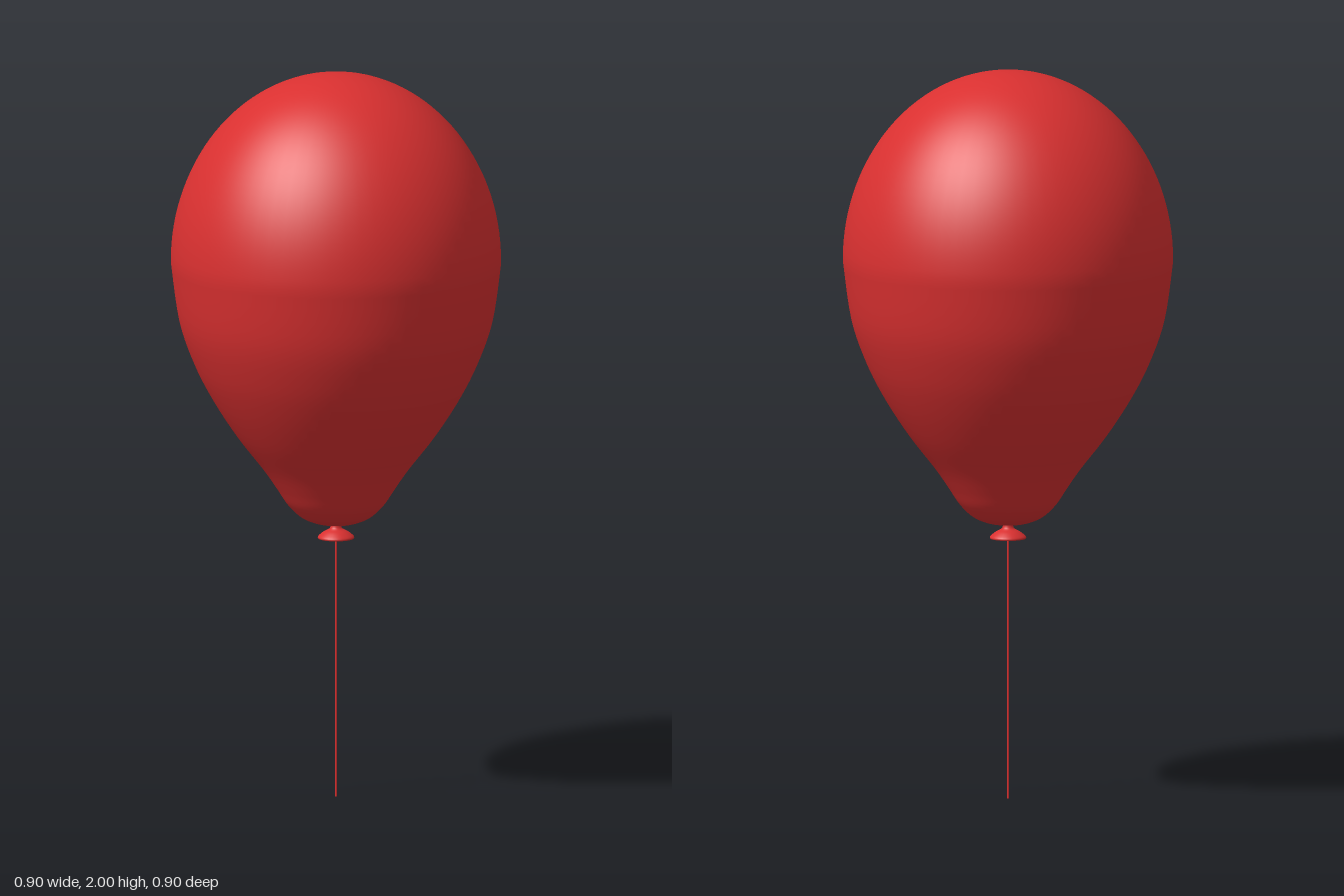
import * as THREE from 'three';

const v = (x, y) => new THREE.Vector2(x, y);

export function createModel() {
  const group = new THREE.Group();
  const red = new THREE.MeshStandardMaterial({ color: 0xd93030 });
  red.name = 'balloon red';
  const redOpen = new THREE.MeshStandardMaterial({ color: 0xd93030, side: THREE.DoubleSide });
  redOpen.name = 'balloon red two sided';

  const add = (name, geometry, material) => {
    const mesh = new THREE.Mesh(geometry, material);
    mesh.name = name;
    group.add(mesh);
  };

  // Inflated body: rounded neck flaring into an elliptical crown
  const lower = new THREE.SplineCurve([
    v(0, 0.752), v(0.05, 0.757), v(0.095, 0.775), v(0.132, 0.81), v(0.162, 0.855),
    v(0.2, 0.91), v(0.27, 1.0), v(0.335, 1.1), v(0.386, 1.2), v(0.427, 1.32), v(0.45, 1.48),
  ]).getPoints(50);
  const crown = [];
  for (let i = 1; i <= 32; i++) {
    const a = (i / 32) * Math.PI / 2;
    crown.push(v(i === 32 ? 0 : 0.45 * Math.cos(a), 1.48 + 0.52 * Math.sin(a)));
  }
  add('balloonBody', new THREE.LatheGeometry([...lower, ...crown], 64), red);

  // Pinched knot with a flared, hollow lip
  const lip = new THREE.SplineCurve([
    v(0.004, 0.727), v(0.028, 0.722), v(0.046, 0.714), v(0.049, 0.72),
    v(0.034, 0.733), v(0.016, 0.744), v(0.014, 0.762),
  ]).getPoints(24);
  add('knotLip', new THREE.LatheGeometry(lip, 32), redOpen);

  // Hanging string
  const string = new THREE.CylinderGeometry(0.003, 0.003, 0.75, 8);
  string.translate(0, 0.375, 0);
  add('string', string, red);

  return group;
}
